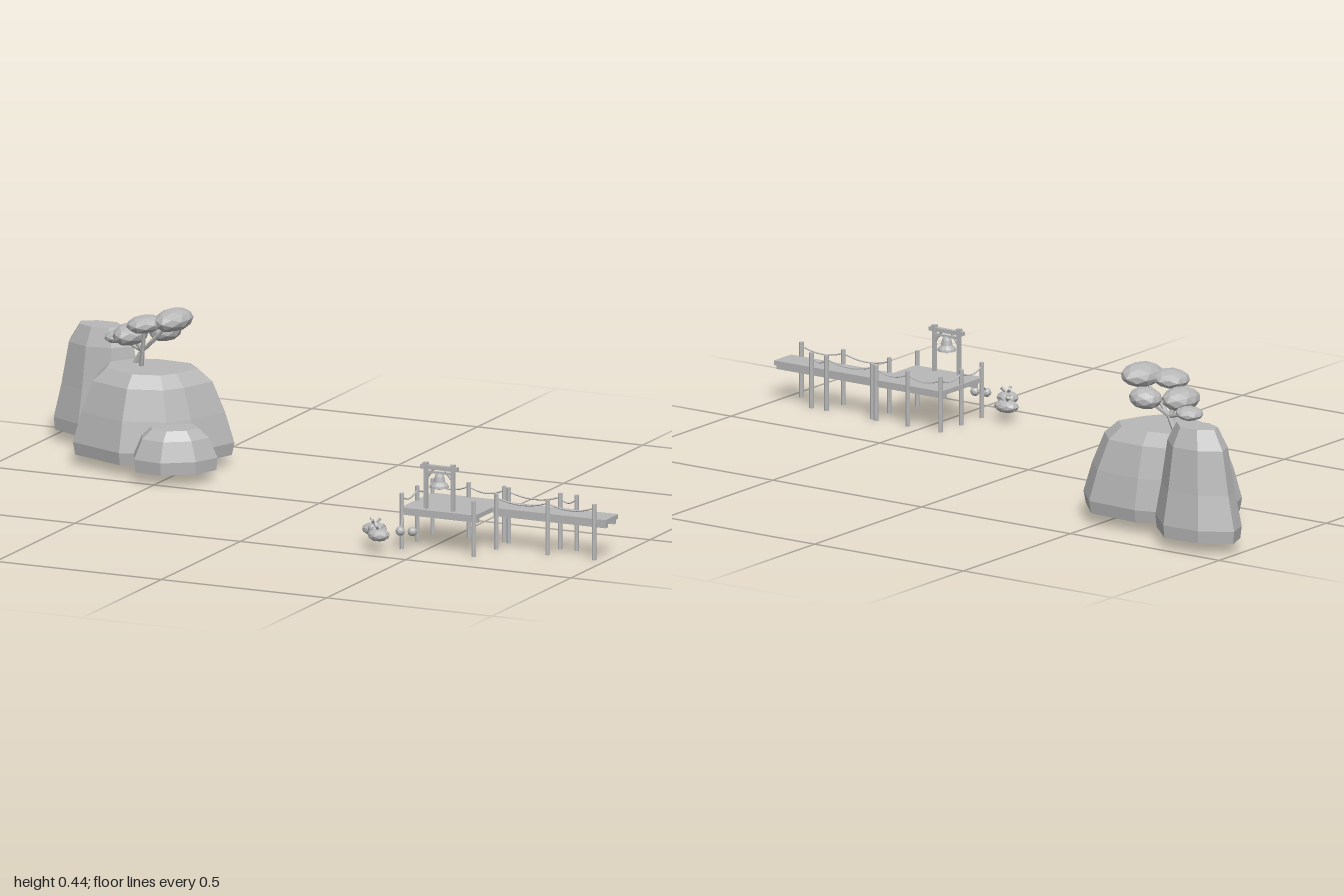
import * as THREE from 'three';

const grey = new THREE.MeshStandardMaterial({ color: 0xb8b8b8 });
grey.name = 'stoneGrey';
const V = (x, y, z) => new THREE.Vector3(x, y, z);

// Facet a geometry and wrap it in a named mesh
function part(parent, name, geo, x = 0, y = 0, z = 0) {
  const g = geo.index ? geo.toNonIndexed() : geo;
  g.computeVertexNormals();
  const m = new THREE.Mesh(g, grey);
  m.name = name;
  m.position.set(x, y, z);
  parent.add(m);
  return m;
}

function group(parent, name) {
  const g = new THREE.Group();
  g.name = name;
  parent.add(g);
  return g;
}

const box = (parent, name, w, h, d, x, y, z) =>
  part(parent, name, new THREE.BoxGeometry(w, h, d), x, y, z);

const blob = (parent, name, [x, y, z], [rx, ry, rz], detail = 1) =>
  part(parent, name, new THREE.IcosahedronGeometry(1, detail).scale(rx, ry, rz), x, y, z);

// Tapered rod between two points
function rod(parent, name, a, b, r0, r1 = r0, sides = 6) {
  const m = part(parent, name, new THREE.CylinderGeometry(r1, r0, a.distanceTo(b), sides));
  m.position.copy(a).lerp(b, 0.5);
  m.quaternion.setFromUnitVectors(V(0, 1, 0), b.clone().sub(a).normalize());
  return m;
}

// Rock: an outline (clockwise from above) shrunk through levels [y, scale, shiftX, shiftZ]
function rock(parent, name, [cx, cz], outline, levels) {
  const rings = levels.map(([y, s, dx = 0, dz = 0]) =>
    outline.map(([x, z]) => V(cx + dx + (x - cx) * s, y, cz + dz + (z - cz) * s)));
  const pts = [];
  const n = outline.length;
  const mid = (ring) => ring.reduce((c, p) => c.add(p), V(0, 0, 0)).divideScalar(n);
  const bottom = mid(rings[0]);
  const last = rings[rings.length - 1];
  const top = mid(last);
  for (let i = 0; i < n; i++) {
    const j = (i + 1) % n;
    for (let k = 0; k + 1 < rings.length; k++) {
      const a = rings[k], b = rings[k + 1];
      pts.push(a[j], a[i], b[i], a[j], b[i], b[j]);
    }
    pts.push(bottom, rings[0][i], rings[0][j], top, last[j], last[i]);
  }
  part(parent, name, new THREE.BufferGeometry().setFromPoints(pts));
}

// Slack rope between two post tops
function rope(parent, a, b, sag) {
  const mid = a.clone().lerp(b, 0.5);
  mid.y -= sag * 2;
  const curve = new THREE.QuadraticBezierCurve3(a, mid, b);
  part(parent, 'rope', new THREE.TubeGeometry(curve, 8, 0.0022, 5));
}

function buildIsland(root) {
  const island = group(root, 'island');
  rock(island, 'mainRock', [-0.62, -0.225],
    [[-0.84, -0.25], [-0.76, -0.36], [-0.64, -0.395], [-0.48, -0.385], [-0.4, -0.3],
      [-0.45, -0.16], [-0.5, -0.09], [-0.63, -0.05], [-0.8, -0.115]],
    [[0.03, 0.97], [0.065, 1], [0.15, 0.89], [0.235, 0.74], [0.27, 0.57]]);
  rock(island, 'tallRock', [-0.855, -0.398],
    [[-1, -0.43], [-0.915, -0.48], [-0.8, -0.483], [-0.71, -0.395], [-0.78, -0.335],
      [-0.88, -0.315], [-0.975, -0.36]],
    [[0.03, 0.97], [0.065, 1], [0.16, 0.85, 0.004, 0.004], [0.28, 0.7, 0.008, 0.008],
      [0.333, 0.48, 0.012, 0.012]]);
  rock(island, 'smallRock', [-0.478, -0.083],
    [[-0.59, -0.06], [-0.53, -0.15], [-0.42, -0.185], [-0.365, -0.12], [-0.395, -0.045],
      [-0.475, 0.012], [-0.56, 0]],
    [[0.03, 0.97], [0.065, 1], [0.12, 0.8], [0.146, 0.56]]);

  // Leaning tree with flat leaf clusters
  const tree = group(island, 'tree');
  const leaves = [
    [[-0.558, 0.405, -0.245], [0.05, 0.032, 0.073]],
    [[-0.625, 0.395, -0.203], [0.05, 0.025, 0.056]],
    [[-0.61, 0.358, -0.302], [0.046, 0.03, 0.046]],
    [[-0.685, 0.354, -0.24], [0.046, 0.032, 0.066]],
    [[-0.745, 0.331, -0.285], [0.037, 0.018, 0.042]],
  ];
  leaves.forEach(([p, r]) => {
    blob(tree, 'leafCluster', p, r).rotation.z = 0.12;
  });
  const fork = V(-0.66, 0.305, -0.26);
  rod(tree, 'trunk', V(-0.685, 0.26, -0.262), fork, 0.009, 0.007);
  [0, 2, 3, 4].forEach((i) =>
    rod(tree, 'branch', fork, V(...leaves[i][0]), 0.006, 0.004));
  rod(tree, 'trunk', V(-0.65, 0.26, -0.232), V(...leaves[1][0]), 0.007, 0.005);
}

function buildPier(root) {
  const pier = group(root, 'pier');
  box(pier, 'platform', 0.226, 0.013, 0.196, 0.543, 0.1085, 0.288);
  box(pier, 'walkway', 0.346, 0.013, 0.08, 0.827, 0.1085, 0.241);
  [0.215, 0.36].forEach((z) => box(pier, 'platformBeam', 0.22, 0.012, 0.012, 0.543, 0.096, z));
  [0.215, 0.267].forEach((z) => box(pier, 'walkwayBeam', 0.34, 0.012, 0.012, 0.827, 0.096, z));

  // Rows of posts, each row joined by ropes
  const rows = [
    [[0.435, 0.387], [0.435, 0.29], [0.435, 0.194], [0.545, 0.194], [0.652, 0.194]],
    [[0.67, 0.203], [0.825, 0.203], [0.875, 0.203]],
    [[0.67, 0.281], [0.825, 0.281], [0.965, 0.281]],
    [[0.652, 0.387]],
  ];
  rows.forEach((row) => row.forEach(([x, z], i) => {
    part(pier, 'post', new THREE.CylinderGeometry(0.0065, 0.0065, 0.156, 8), x, 0.078, z);
    if (i) rope(pier, V(row[i - 1][0], 0.145, row[i - 1][1]), V(x, 0.145, z), 0.014);
  }));

  // Bell frame
  const frame = group(pier, 'bellFrame');
  frame.position.set(0.538, 0, 0.366);
  box(frame, 'topBeam', 0.112, 0.011, 0.013, 0, 0.233, 0);
  box(frame, 'lowerBeam', 0.08, 0.006, 0.008, 0, 0.219, 0);
  [-1, 1].forEach((s) => {
    box(frame, 'framePost', 0.01, 0.136, 0.01, s * 0.041, 0.175, 0);
    box(frame, 'postCap', 0.013, 0.008, 0.013, s * 0.041, 0.241, 0);
    rod(frame, 'brace', V(s * 0.039, 0.2, 0), V(s * 0.018, 0.228, 0), 0.0035);
  });
  const profile = [[0, 0.219], [0.009, 0.217], [0.013, 0.208], [0.016, 0.194], [0.025, 0.184],
    [0.026, 0.178], [0.022, 0.178], [0, 0.205]].map(([x, y]) => new THREE.Vector2(x, y)).reverse();
  part(frame, 'bell', new THREE.LatheGeometry(profile, 12));
  blob(frame, 'clapper', [0, 0.176, 0], [0.006, 0.006, 0.006]);
}

function buildFloats(root) {
  const floats = group(root, 'floats');
  // Mooring line with round floats
  rod(floats, 'mooringLine', V(0.44, 0.1, 0.385), V(0.45, 0.062, 0.43), 0.002);
  [[0.45, 0.06, 0.43], [0.482, 0.06, 0.42]].forEach((p) =>
    blob(floats, 'roundFloat', p, [0.013, 0.013, 0.013]));
  [[0.36, 0.056, 0.42], [0.374, 0.054, 0.432]].forEach((p) =>
    blob(floats, 'smallFloat', p, [0.011, 0.014, 0.011]));
  // Low bushes with short sprouts
  [[0.35, 0.046, 0.383, 0.037], [0.396, 0.049, 0.453, 0.031]].forEach(([x, y, z, r]) => {
    blob(floats, 'bush', [x, y, z], [r, 0.018, 0.028]);
    [-1, 0, 1].forEach((k) => {
      const tip = V(x + k * 0.014, y + 0.028, z + (k ? -0.01 : 0.014));
      rod(floats, 'sprout', V(x, y + 0.01, z), tip, 0.003, 0.005, 5);
    });
  });
}

export function createModel() {
  const model = new THREE.Group();
  model.name = 'rockIslandAndPier';
  buildIsland(model);
  buildPier(model);
  buildFloats(model);
  return model;
}
